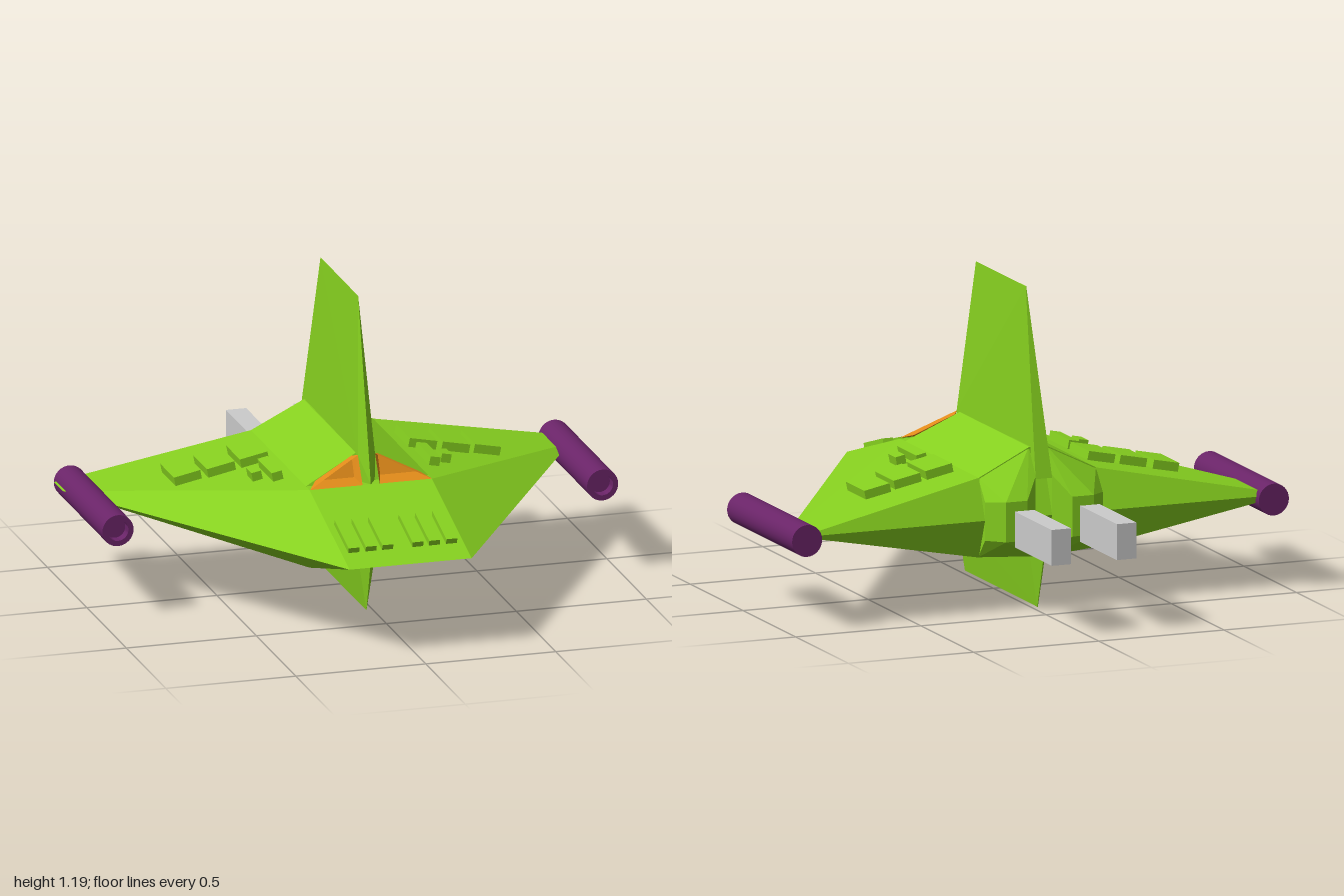
import * as THREE from 'three';
import { ConvexGeometry } from 'three/addons/geometries/ConvexGeometry.js';
import { toCreasedNormals } from 'three/addons/utils/BufferGeometryUtils.js';

const mat = (color, extra = {}) => new THREE.MeshStandardMaterial({ color, ...extra });

export function createModel() {
  const green = mat(0x86d01f, { flatShading: true });
  const orange = mat(0xe08a1a, { flatShading: true, side: THREE.DoubleSide });
  const purple = mat(0x6a2468);
  const grey = mat(0xcccccc);

  const model = new THREE.Group();
  model.name = 'spaceship';
  const ship = new THREE.Group();
  ship.name = 'body';
  ship.position.x = -0.025;
  model.add(ship);

  const add = (name, geometry, material, parent = ship) => {
    const mesh = new THREE.Mesh(geometry, material);
    mesh.name = name;
    parent.add(mesh);
    return mesh;
  };
  const solid = (points) => new ConvexGeometry(points.map((p) => new THREE.Vector3(...p)));
  const mirrored = (points) => points.flatMap(([x, y, z]) => [[x, y, z], [-x, y, z]]);
  const box = (name, size, pos, material = green) => {
    const mesh = add(name, new THREE.BoxGeometry(...size), material);
    mesh.position.set(...pos);
    return mesh;
  };

  // Flat faceted hull with swept wings
  add('hull', solid(mirrored([
    [0.235, 0.51, 0.385], [0.235, 0.51, -0.36],
    [0.235, 0.21, 0.385], [0.235, 0.21, -0.36],
    [0.235, 0.36, 0.89], [0.975, 0.36, -0.31], [0.975, 0.36, -0.42],
  ])), green);

  // Raised roof, cut back at the front for the cockpit windows
  add('roof', solid(mirrored([
    [0.235, 0.51, 0.337], [0.033, 0.61, 0.302],
    [0.235, 0.51, -0.36], [0.033, 0.61, -0.36],
  ])), green);

  // Upper and lower fins, tapering to thin edges
  add('upperFin', solid([
    ...mirrored([[0.033, 0.61, 0.33], [0.033, 0.5, 0.33], [0.033, 0.5, -0.42], [0.001, 1.19, -0.25]]),
    [0, 0.51, 0.385], [0, 1.19, 0.225],
  ]), green);
  add('lowerFin', solid([
    ...mirrored([[0.033, 0.215, 0.33], [0.033, 0.215, -0.36], [0.001, 0.005, -0.36]]),
    [0, 0.215, 0.385], [0, 0.005, 0.33], [0, 0.215, -0.42],
  ]), green);

  for (const s of [1, -1]) {
    const side = s > 0 ? 'left' : 'right';
    const name = (part) => side + part;

    // Recessed triangular cockpit window: rim, sloping reveal and pane
    const rim = [[0.235, 0.512, 0.39], [0.033, 0.512, 0.39], [0.033, 0.61, 0.33]];
    const pane = [[0.2, 0.529, 0.34], [0.05, 0.529, 0.34], [0.05, 0.602, 0.305]];
    const tris = [[pane[0], pane[2], pane[1]]];
    for (let i = 0; i < 3; i++) {
      const j = (i + 1) % 3;
      tris.push([rim[i], pane[i], rim[j]], [rim[j], pane[i], pane[j]]);
    }
    const corners = tris.flatMap((t) => (s > 0 ? t : [...t].reverse()))
      .flatMap(([x, y, z]) => [s * x, y, z]);
    const windowGeo = new THREE.BufferGeometry();
    windowGeo.setAttribute('position', new THREE.Float32BufferAttribute(corners, 3));
    windowGeo.computeVertexNormals();
    add(name('CockpitWindow'), windowGeo, orange);

    // Rear engine housing, narrowing towards the back
    add(name('EngineHousing'), solid([
      [0.033, 0.61, -0.355], [0.235, 0.51, -0.355], [0.033, 0.21, -0.355], [0.235, 0.21, -0.355],
      [0.033, 0.51, -0.42], [0.235, 0.43, -0.42], [0.033, 0.21, -0.42], [0.235, 0.285, -0.42],
      [0.09, 0.435, -0.477], [0.175, 0.435, -0.477], [0.09, 0.285, -0.477], [0.175, 0.285, -0.477],
    ].map(([x, y, z]) => [s * x, y, z])), green);

    // Detached exhaust blocks
    box(name('Exhaust'), [0.078, 0.135, 0.35], [s * 0.13, 0.347, -0.72], grey);

    // Wing panels following the wing slope: centre x, centre z, width, length
    const panels = [
      [0.575, -0.123, 0.103, 0.175], [0.45, -0.11, 0.108, 0.175], [0.323, -0.11, 0.108, 0.175],
      [0.302, 0.11, 0.04, 0.18], [0.363, 0.107, 0.038, 0.07],
    ];
    for (const [x, z, w, l] of panels) {
      const y = 0.51 - (x - 0.235) * 0.203 + 0.014;
      box(name('WingPanel'), [w, 0.04, l], [s * x, y, z]).rotation.z = -s * 0.2;
    }

    // Nose slats following the nose slope
    for (const x of [0.058, 0.122, 0.188]) {
      box(name('NoseSlat'), [0.042, 0.03, 0.188], [s * x, 0.422, 0.7]).rotation.x = 0.286;
    }

    // Wing tip cannon with a hollow muzzle
    const profile = [[0, -0.447], [0.06, -0.447], [0.06, 0.17], [0.04, 0.17], [0.04, 0.13], [0, 0.13]];
    const tube = new THREE.LatheGeometry(profile.map(([r, y]) => new THREE.Vector2(r, y)), 32);
    tube.rotateX(Math.PI / 2);
    add(name('Cannon'), toCreasedNormals(tube, 0.6), purple, model).position.set(s * 0.932, 0.35, 0);
  }
  return model;
}
